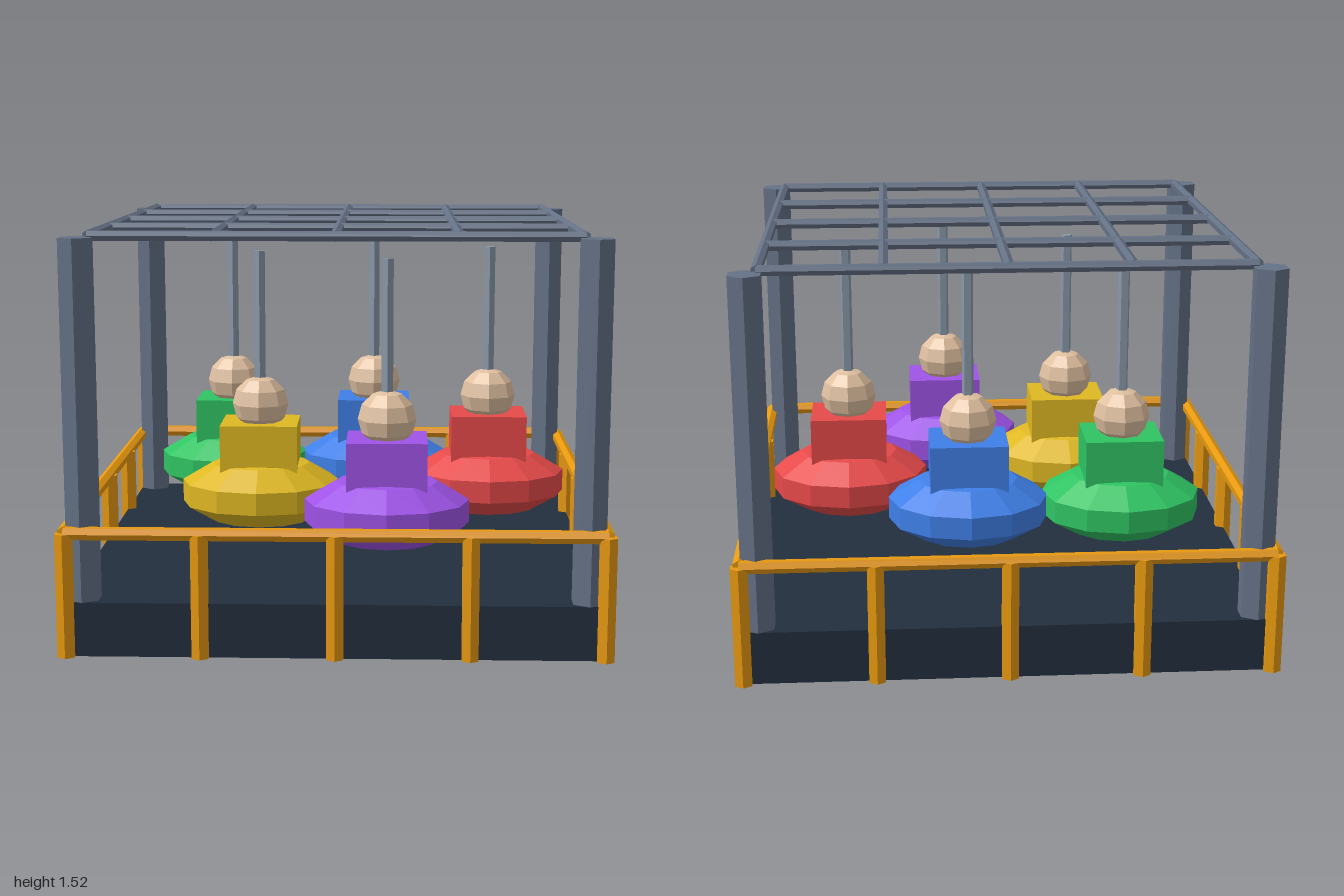
import * as THREE from 'three';

const mat = (name, color) => {
  const m = new THREE.MeshStandardMaterial({ color, flatShading: true });
  m.name = name;
  return m;
};

export function createModel() {
  const root = new THREE.Group();
  root.name = 'bumperCarArena';

  const floorMat = mat('dark floor', 0x222f3e);
  const frameMat = mat('slate frame', 0x647186);
  const railMat = mat('orange rail', 0xe8990f);
  const poleMat = mat('pole grey', 0x8a98a8);
  const skinMat = mat('skin', 0xe0c0a0);

  const add = (parent, name, geometry, material, x, y, z) => {
    const m = new THREE.Mesh(geometry, material);
    m.name = name;
    m.position.set(x, y, z);
    parent.add(m);
    return m;
  };

  // A hexagonal bar at height y, lying along x or z
  const bar = (name, axis, r, length, material, offset, y) => {
    const g = new THREE.CylinderGeometry(r, r, length, 6);
    if (axis === 'x') g.rotateZ(Math.PI / 2);
    else g.rotateX(Math.PI / 2);
    add(root, name, g, material, axis === 'x' ? 0 : offset, y, axis === 'x' ? offset : 0);
  };

  // Floor slab
  add(root, 'floor', new THREE.BoxGeometry(1.93, 0.2, 1.93), floorMat, 0, 0.1, 0);

  // Corner columns
  const column = new THREE.CylinderGeometry(0.065, 0.065, 1.3, 6);
  for (const x of [-0.906, 0.906])
    for (const z of [-0.906, 0.906]) add(root, 'column', column, frameMat, x, 0.85, z);

  // Ceiling grid
  for (let i = -2; i <= 2; i++) {
    bar('ceilingBar', 'x', 0.02, 1.74, frameMat, i * 0.434, 1.503);
    bar('ceilingBar', 'z', 0.02, 1.74, frameMat, i * 0.434, 1.503);
  }

  // Fence: posts around the edge and a rail on each side
  const E = 0.965;
  const post = new THREE.CylinderGeometry(0.035, 0.035, 0.455, 6);
  for (let i = -2; i <= 2; i++)
    for (let j = -2; j <= 2; j++)
      if (Math.abs(i) === 2 || Math.abs(j) === 2)
        add(root, 'fencePost', post, railMat, i * E / 2, 0.2275, j * E / 2);
  for (const s of [-E, E]) {
    bar('fenceRail', 'x', 0.025, 2 * E, railMat, s, 0.455);
    bar('fenceRail', 'z', 0.025, 2 * E, railMat, s, 0.455);
  }

  // Cars: squashed round bumper, boxy cabin, driver head and power pole
  const bumper = new THREE.SphereGeometry(1, 12, 5).scale(0.326, 0.14, 0.278);
  const cabin = new THREE.BoxGeometry(0.3, 0.28, 0.26);
  const head = new THREE.SphereGeometry(0.11, 8, 6);
  const pole = new THREE.CylinderGeometry(0.023, 0.023, 0.6, 5);
  const cars = [
    ['green', 0x2fc463, -0.477, -0.345],
    ['blue', 0x3f80e8, 0.122, -0.373],
    ['red', 0xe84a4a, 0.588, 0.003],
    ['yellow', 0xdfb822, -0.318, 0.234],
    ['purple', 0xa255ec, 0.182, 0.56],
  ];
  for (const [name, color, x, z] of cars) {
    const car = new THREE.Group();
    car.name = name + 'Car';
    car.position.set(x, 0, z);
    const paint = mat(name + ' paint', color);
    add(car, 'bumper', bumper, paint, 0, 0.45, 0);
    add(car, 'cabin', cabin, paint, 0, 0.59, 0);
    add(car, 'driverHead', head, skinMat, 0, 0.8, 0);
    add(car, 'powerPole', pole, poleMat, 0, 1.1, 0);
    root.add(car);
  }
  return root;
}
